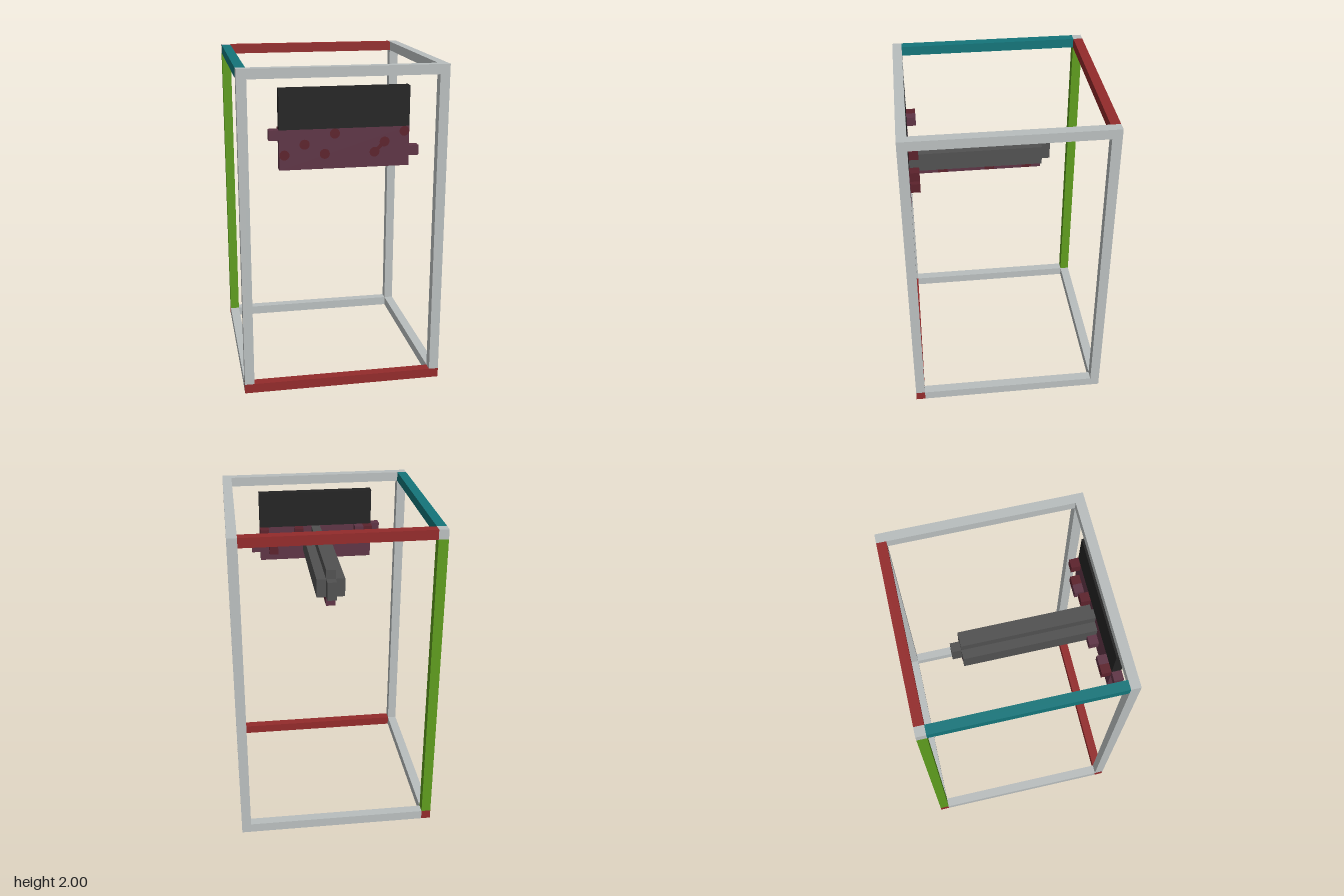
import * as THREE from 'three';

const U = 1 / 17; // one block

export function createModel() {
  const model = new THREE.Group();
  model.name = 'framedHangingSign';

  const mat = (name, color) => {
    const m = new THREE.MeshStandardMaterial({ color });
    m.name = name;
    return m;
  };
  const grey = mat('paleGrey', 0xb9bebe);
  const red = mat('red', 0x932b2b);
  const teal = mat('teal', 0x14757a);
  const green = mat('green', 0x5e9c1e);
  const black = mat('black', 0x232323);
  const purple = mat('purple', 0x5e3445);
  const maroon = mat('maroon', 0x5c222c);
  const steel = mat('darkGrey', 0x515151);

  // Box given by its limits in blocks
  const box = (name, m, [x0, x1], [y0, y1], [z0, z1], parent = model) => {
    const mesh = new THREE.Mesh(
      new THREE.BoxGeometry((x1 - x0) * U, (y1 - y0) * U, (z1 - z0) * U), m);
    mesh.position.set((x0 + x1) / 2 * U, (y0 + y1) / 2 * U, (z0 + z1) / 2 * U);
    mesh.name = name;
    parent.add(mesh);
    return mesh;
  };

  // Open cage: posts, corner blocks and rails
  const low = [-10.5, -9.5], high = [9.5, 10.5], span = [-9.5, 9.5];
  const floor = [0, 1], roof = [33, 34];
  for (const x of [low, high]) {
    for (const z of [low, high]) {
      const accent = x === low && z === low;
      box('post', accent ? green : grey, x, [1, 33], z);
      box('topCorner', grey, x, roof, z);
      box('bottomCorner', accent || z === high ? red : grey, x, floor, z);
    }
    box('bottomSideRail', grey, x, floor, span);
    box('topSideRail', x === low ? teal : grey, x, roof, span);
  }
  for (const z of [low, high]) {
    box('bottomCrossRail', z === high ? red : grey, span, floor, z);
    box('topCrossRail', z === low ? red : grey, span, roof, z);
  }

  // Front panel with its side tabs
  const panel = new THREE.Group();
  panel.name = 'frontPanel';
  model.add(panel);
  box('upperPanel', black, [-6.5, 6.5], [28, 32], high, panel);
  box('lowerPanel', purple, [-6.5, 6.5], [24, 28], high, panel);
  box('rightTab', purple, [-7.5, -6.5], [27, 28], high, panel);
  box('leftTab', purple, [6.5, 7.5], [25, 26], high, panel);

  // Round painted spots on the front
  const disc = new THREE.CircleGeometry(U * 0.5, 20);
  for (const [x, y] of [[-6, 25], [-4, 26], [-2, 25], [-1, 27], [3, 25], [4, 26], [6, 27]]) {
    const spot = new THREE.Mesh(disc, maroon);
    spot.name = 'spot';
    spot.position.set(x * U, (y + 0.5) * U, 10.5 * U + 0.001);
    panel.add(spot);
  }
  const link = new THREE.Mesh(new THREE.PlaneGeometry(U * 0.9, U * 0.4), maroon);
  link.name = 'spotLink';
  link.position.set(3.5 * U, 26 * U, 10.5 * U + 0.0015);
  link.rotation.z = Math.PI / 4;
  panel.add(link);

  // Blocks standing out behind the panel
  const studs = [
    [6, 27, maroon], [5, 25, maroon], [4, 25, purple], [2, 27, maroon],
    [-2, 25, purple], [-5, 27, purple], [-6, 27, maroon],
  ];
  for (const [x, y, m] of studs) {
    box('rearStud', m, [x - 0.5, x + 0.5], [y, y + 1], [8.5, 9.5], panel);
  }

  // Long beam running back from the panel
  const beam = new THREE.Group();
  beam.name = 'beam';
  model.add(beam);
  const core = [-0.5, 0.5], length = [-4.5, 9.5];
  box('beamBody', steel, [-1.5, 1.5], [25, 27], length, beam);
  box('beamRidge', steel, core, [27, 28], length, beam);
  box('beamNub', steel, core, [25, 27], [-5.5, -4.5], beam);

  // Keel under the beam, broken by darker blocks
  let start = -4.5;
  for (const z of [-3, 1, 6]) {
    box('keel', purple, core, [24, 25], [start, z - 0.5], beam);
    box('keelBlock', maroon, core, [24, 25], [z - 0.5, z + 0.5], beam);
    start = z + 0.5;
  }
  box('keel', purple, core, [24, 25], [start, 9.5], beam);

  return model;
}
